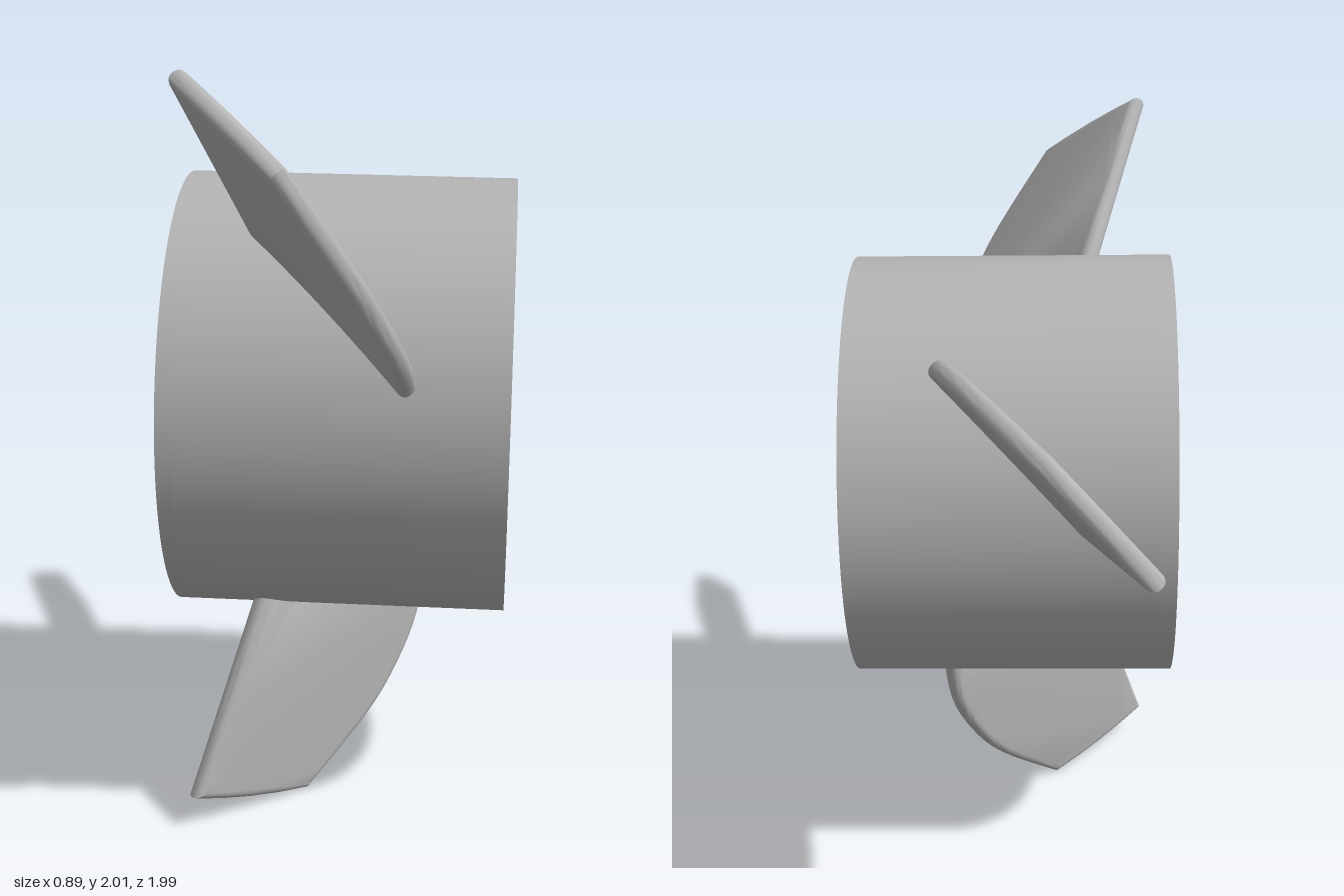
import * as THREE from 'three';
import { toCreasedNormals } from 'three/addons/utils/BufferGeometryUtils.js';

const OUTER = 0.585, INNER = 0.545, HALF = 0.4375, PLATE = 0.04;

const grey = new THREE.MeshStandardMaterial({ color: 0xb4b4b4 });
grey.name = 'plain grey';

// Disc with round holes [x, y, radius], extruded along +x from x0
function disc(name, x0, depth, holes) {
  const shape = new THREE.Shape().absarc(0, 0, OUTER, 0, Math.PI * 2);
  for (const [x, y, r] of holes) {
    shape.holes.push(new THREE.Path().absarc(x, y, r, 0, Math.PI * 2, true));
  }
  const geo = new THREE.ExtrudeGeometry(shape, { depth, bevelEnabled: false, curveSegments: 48 });
  geo.rotateY(Math.PI / 2).translate(x0, 0, 0);
  const mesh = new THREE.Mesh(toCreasedNormals(geo, 0.6), grey);
  mesh.name = name;
  return mesh;
}

// Flat slanted blade: its outline is given as seen along the axis (z, y)
// and laid onto the blade's tilted plane
function bladeGeometry() {
  const origin = new THREE.Vector3(-0.23, 0.51, 0.33);
  const n = new THREE.Vector3(-0.724, -0.578, 0.376).normalize();
  const u = new THREE.Vector3(1, 0, 0).addScaledVector(n, -n.x).normalize();
  const v = new THREE.Vector3().crossVectors(n, u);
  const onPlane = ([z, y]) => {
    const p = new THREE.Vector3(0, y, z).sub(origin);
    p.x = -(n.y * p.y + n.z * p.z) / n.x;
    return new THREE.Vector2(p.dot(u), p.dot(v));
  };
  const polar = (deg, r) => {
    const a = THREE.MathUtils.degToRad(deg);
    return [r * Math.cos(a), r * Math.sin(a)];
  };
  const arc = (from, to, r, count) =>
    Array.from({ length: count + 1 }, (_, i) => onPlane(polar(from + (to - from) * i / count, r)));
  const edge = (pts, count) => new THREE.SplineCurve(pts.map(onPlane)).getPoints(count);

  const root = arc(57.5, 11.5, 0.552, 14);
  const leading = edge([polar(11.5, 0.552), [0.667, 0.215], [0.755, 0.338], [0.817, 0.475], polar(38.8, 1.117)], 16);
  const tip = arc(38.8, 53.7, 1.117, 4);
  const trailing = edge([polar(53.7, 1.117), [0.485, 0.69], polar(57.5, 0.552)], 8);
  const outline = [root, leading, tip, trailing].flatMap(part => part.slice(0, -1));

  // Rounded rim all around the blade
  const bevel = 0.021, core = 0.01;
  const geo = new THREE.ExtrudeGeometry(new THREE.Shape(outline), {
    depth: core, bevelEnabled: true, bevelSize: bevel, bevelOffset: -bevel,
    bevelThickness: bevel, bevelSegments: 4,
  });
  geo.translate(0, 0, -core / 2);
  geo.applyMatrix4(new THREE.Matrix4().makeBasis(u, v, n).setPosition(origin));
  return toCreasedNormals(geo, 0.6);
}

export function createModel() {
  const model = new THREE.Group();
  model.name = 'bladedCup';

  const rotor = new THREE.Group();
  rotor.name = 'rotor';
  rotor.position.set(0, 1.1, 0.12);
  rotor.rotation.z = -0.0145;
  model.add(rotor);

  // Open cup: end plate with a shaft hole and two screw holes, then the wall
  rotor.add(disc('endPlate', -HALF, PLATE, [[0, 0, 0.165], [0.247, 0.129, 0.047], [-0.247, -0.129, 0.047]]));
  rotor.add(disc('cupWall', -HALF + PLATE, 2 * HALF - PLATE, [[0, 0, INNER]]));

  // Three blades around the axis
  const geo = bladeGeometry();
  for (let i = 0; i < 3; i++) {
    const blade = new THREE.Mesh(geo, grey);
    blade.name = 'blade' + (i + 1);
    blade.rotation.x = i * Math.PI * 2 / 3;
    rotor.add(blade);
  }
  return model;
}
